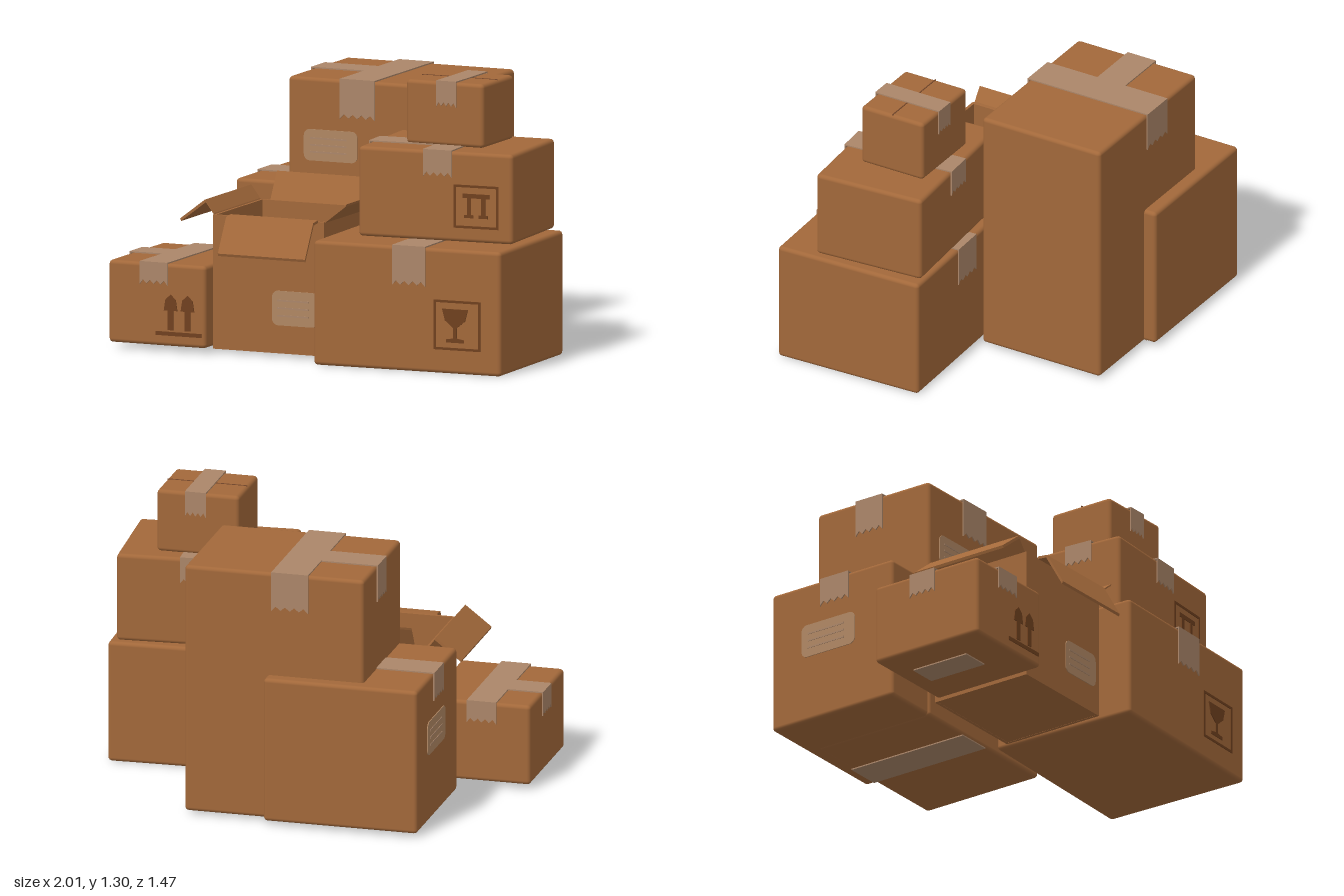
import * as THREE from 'three';
import { RoundedBoxGeometry } from 'three/addons/geometries/RoundedBoxGeometry.js';

const T = 0.006; // thickness of tape, labels and print

export function createModel() {
  const paint = (name, color) => {
    const m = new THREE.MeshStandardMaterial({ color });
    m.name = name;
    return m;
  };
  const cardboard = paint('cardboard', 0xa2683a);
  const inside = paint('shadowed cardboard', 0x74462a);
  const tape = paint('packing tape', 0xab8669);
  const label = paint('paper label', 0xb08763);
  const ink = paint('printed ink', 0x70411f);

  const model = new THREE.Group();
  model.name = 'boxStack';

  const add = (parent, name, geo, mat, x = 0, y = 0, z = 0) => {
    const m = new THREE.Mesh(geo, mat);
    m.name = name;
    m.position.set(x, y, z);
    parent.add(m);
    return m;
  };
  const polygon = (pts) => new THREE.Shape(pts.map(([x, y]) => new THREE.Vector2(x, y)));
  const extrude = (shape, depth) =>
    new THREE.ExtrudeGeometry(shape, { depth, bevelEnabled: false, curveSegments: 6 });
  const rect = (w, h) => [[-w / 2, -h / 2], [w / 2, -h / 2], [w / 2, h / 2], [-w / 2, h / 2]];

  // A group standing on the bottom centre of a box
  function crate(name, size, pos, yaw = 0) {
    const g = new THREE.Group();
    g.name = name;
    g.position.set(...pos);
    g.rotation.y = yaw;
    g.userData.size = size;
    model.add(g);
    return g;
  }
  function closedBox(name, size, pos, yaw) {
    const g = crate(name, size, pos, yaw);
    add(g, 'carton', new RoundedBoxGeometry(...size, 3, 0.018), cardboard, 0, size[1] / 2, 0);
    return g;
  }

  // Frame on one side of a box: x along the side, y up from the bottom, z outward
  function side(box, which) {
    const [w, , d] = box.userData.size;
    const f = new THREE.Group();
    f.name = which + 'Side';
    f.rotation.y = { front: 0, back: Math.PI, right: -Math.PI / 2, left: Math.PI / 2 }[which];
    const out = which === 'front' || which === 'back' ? d / 2 : w / 2;
    f.position.set(Math.sin(f.rotation.y) * out, 0, Math.cos(f.rotation.y) * out);
    box.add(f);
    return f;
  }

  // Hanging end of tape with a torn lower edge
  function tapeEnd(box, which, x, width, drop) {
    const pts = [[-width / 2, T], [-width / 2, -drop]];
    for (let i = 1; i < 8; i++)
      pts.push([-width / 2 + (width * i) / 8, -drop + (i % 2 ? 0.022 : 0.004)]);
    pts.push([width / 2, -drop], [width / 2, T]);
    add(side(box, which), 'tapeEnd', extrude(polygon(pts), T), tape, x, box.userData.size[1], 0);
  }
  // Strip running front to back over the top
  function longTape(box, x, width, drop) {
    const [, h, d] = box.userData.size;
    add(box, 'longTape', new THREE.BoxGeometry(width, T, d), tape, x, h + T / 2, 0);
    tapeEnd(box, 'front', x, width, drop);
    tapeEnd(box, 'back', -x, width, drop);
  }
  // Strip from the -x edge inward to x1
  function crossTape(box, z, width, x1, drop) {
    const [w, h] = box.userData.size;
    add(box, 'crossTape', new THREE.BoxGeometry(x1 + w / 2, T, width), tape, (x1 - w / 2) / 2, h + T / 2, z);
    tapeEnd(box, 'right', z, width, drop);
  }

  // Rounded address label with raised lines
  function addressLabel(box, which, x, y, w, h) {
    const f = side(box, which), r = 0.03, s = new THREE.Shape();
    s.moveTo(-w / 2 + r, -h / 2);
    s.absarc(w / 2 - r, -h / 2 + r, r, -Math.PI / 2, 0);
    s.absarc(w / 2 - r, h / 2 - r, r, 0, Math.PI / 2);
    s.absarc(-w / 2 + r, h / 2 - r, r, Math.PI / 2, Math.PI);
    s.absarc(-w / 2 + r, -h / 2 + r, r, Math.PI, Math.PI * 1.5);
    add(f, 'label', extrude(s, 0.004), label, x, y, 0);
    for (let i = -1; i <= 1; i++)
      add(f, 'labelLine', new THREE.BoxGeometry(w * 0.68, 0.008, 0.003), tape, x - w * 0.04, y + i * h * 0.22, 0.005);
  }

  // Printed handling marks
  const print = (f, name, pts, x, y) => add(f, name, extrude(polygon(pts), 0.004), ink, x, y, 0);
  function printedFrame(f, x, y, w, h) {
    const s = polygon(rect(w, h));
    s.holes.push(polygon(rect(w - 0.022, h - 0.022)));
    add(f, 'printedFrame', extrude(s, 0.004), ink, x, y, 0);
  }
  const arrow = [[-0.014, 0], [0.014, 0], [0.014, 0.09], [0.034, 0.09], [0.026, 0.14], [0, 0.165],
    [-0.026, 0.14], [-0.034, 0.09], [-0.014, 0.09]];
  const glass = [[-0.045, -0.08], [0.045, -0.08], [0.045, -0.066], [0.009, -0.06], [0.009, -0.012],
    [0.05, 0.022], [0.064, 0.075], [-0.064, 0.075], [-0.05, 0.022], [-0.009, -0.012], [-0.009, -0.06], [-0.045, -0.066]];

  // Small box at the far -x side
  const small = closedBox('smallSideBox', [0.49, 0.38, 0.58], [-0.755, 0.03, 0.36]);
  longTape(small, -0.015, 0.14, 0.1);
  crossTape(small, -0.02, 0.14, -0.085, 0.11);
  add(small, 'bottomTape', new THREE.BoxGeometry(0.14, T, 0.3), tape, -0.015, -T / 2, -0.04);
  const smallFront = side(small, 'front');
  for (const x of [0.07, 0.155]) print(smallFront, 'upArrow', arrow, x, 0.075);
  print(smallFront, 'arrowBase', rect(0.23, 0.018), 0.11, 0.058);

  // Large box at the front
  const large = closedBox('largeFrontBox', [0.93, 0.575, 0.735], [0.523, 0.005, 0.345], 0.035);
  longTape(large, 0.01, 0.165, 0.18);
  const largeFront = side(large, 'front');
  printedFrame(largeFront, 0.25, 0.225, 0.23, 0.23);
  print(largeFront, 'glassMark', glass, 0.24, 0.225);

  // Middle box resting on it
  const middle = closedBox('middleBox', [0.755, 0.415, 0.54], [0.578, 0.588, 0.265], 0.07);
  longTape(middle, 0.01, 0.14, 0.12);
  crossTape(middle, 0.05, 0.14, -0.06, 0.1);
  const middleFront = side(middle, 'front');
  printedFrame(middleFront, 0.2, 0.165, 0.22, 0.2);
  for (const x of [-0.035, 0.035]) {
    print(middleFront, 'post', rect(0.02, 0.085), 0.2 + x, 0.165);
    print(middleFront, 'postBase', rect(0.045, 0.014), 0.2 + x, 0.12);
  }
  print(middleFront, 'topBar', rect(0.13, 0.02), 0.2, 0.215);

  // Little box on top
  const top = closedBox('topBox', [0.39, 0.295, 0.33], [0.575, 1.004, 0.225]);
  longTape(top, 0.01, 0.1, 0.115);
  add(top, 'lidSeam', new THREE.BoxGeometry(0.38, 0.004, 0.005), inside, 0, 0.295, 0);

  // Tall box at the back
  const tall = closedBox('tallBackBox', [0.85, 1.18, 0.63], [0.005, 0.02, -0.365]);
  longTape(tall, -0.075, 0.175, 0.18);
  crossTape(tall, -0.02, 0.15, -0.16, 0.17);
  addressLabel(tall, 'front', -0.21, 0.87, 0.27, 0.145);
  add(tall, 'bottomTape', new THREE.BoxGeometry(0.175, T, 0.63), tape, -0.075, -T / 2, 0);

  // Lower box behind it
  const rear = closedBox('rearBox', [0.73, 0.685, 0.682], [-0.325, 0.024, -0.4]);
  crossTape(rear, 0.015, 0.16, 0.1, 0.13);
  addressLabel(rear, 'right', -0.02, 0.4, 0.3, 0.16);

  // Open box: hollow walls, floor and four bent flaps
  const open = crate('openBox', [0.56, 0.62, 0.52], [-0.23, 0.02, 0.31]);
  const rim = polygon(rect(0.56, 0.52));
  rim.holes.push(polygon(rect(0.532, 0.492)));
  add(open, 'walls', extrude(rim, 0.62).rotateX(-Math.PI / 2), cardboard);
  add(open, 'outerFloor', new THREE.BoxGeometry(0.555, 0.012, 0.515), cardboard, 0, 0.007, 0);
  add(open, 'innerFloor', new THREE.BoxGeometry(0.531, 0.008, 0.491), inside, 0, 0.017, 0);
  addressLabel(open, 'front', 0.135, 0.21, 0.23, 0.16);

  function flap(which, path, length, shift) {
    const t = 0.012;
    const outline = [...path, ...path.map(([u, y]) => [u - t * 0.4, y - t]).reverse()];
    const geo = extrude(polygon(outline), length).rotateY(-Math.PI / 2);
    add(side(open, which), which + 'Flap', geo, cardboard, length / 2 + shift, 0, 0);
  }
  flap('front', [[0, 0.628], [0.05, 0.622], [0.14, 0.465]], 0.44, 0.03);
  flap('back', [[-0.008, 0.62], [0.062, 0.745]], 0.51, -0.025);
  flap('right', [[0, 0.625], [0.045, 0.685], [0.17, 0.59]], 0.5, 0);
  flap('left', [[-0.005, 0.62], [0.11, 0.71]], 0.5, 0);

  return model;
}
